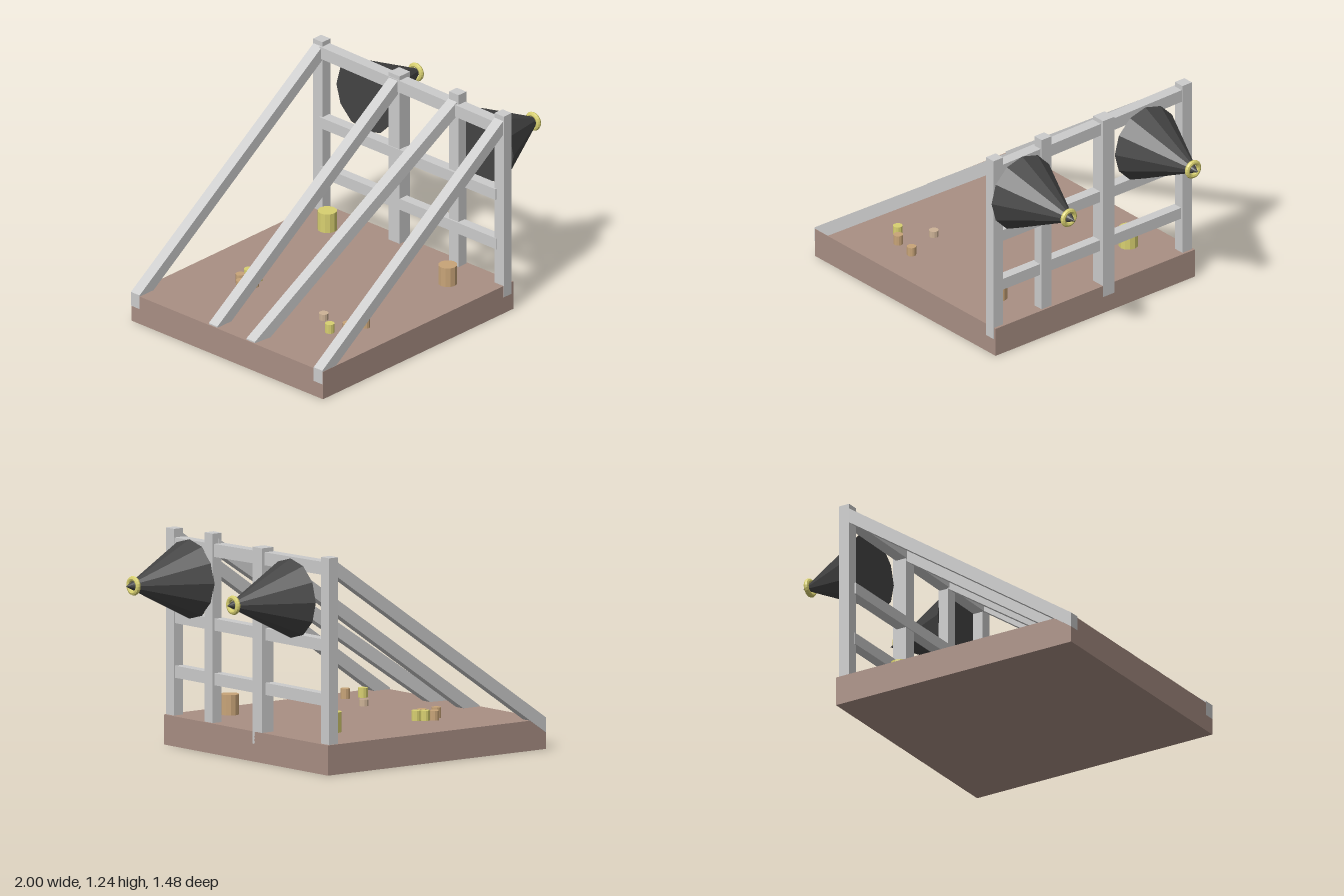
import * as THREE from 'three';

const mat = (color) => new THREE.MeshStandardMaterial({ color, flatShading: true });

export function createModel() {
  const group = new THREE.Group();
  const grey = mat(0xcccccc), earth = mat(0xa98f84), dark = mat(0x444444);
  const yellow = mat(0xd8d070), tan = mat(0xc8a478), pale = mat(0xcdb296);

  function add(name, geometry, material, x, y, z) {
    const mesh = new THREE.Mesh(geometry, material);
    mesh.name = name;
    mesh.position.set(x, y, z);
    group.add(mesh);
    return mesh;
  }

  // Box given by its limits on each axis
  function block(name, material, x0, x1, y0, y1, z0, z1) {
    return add(name, new THREE.BoxGeometry(x1 - x0, y1 - y0, z1 - z0), material,
      (x0 + x1) / 2, (y0 + y1) / 2, (z0 + z1) / 2);
  }

  // Sloping beam with upright end cuts: a box sheared along its length
  function brace(x0, y0, z0, x1, y1, z1) {
    const g = new THREE.BoxGeometry(x1 - x0, 0.085, 0.066);
    const p = g.attributes.position;
    const ky = (y1 - y0) / (x1 - x0), kz = (z1 - z0) / (x1 - x0);
    for (let i = 0; i < p.count; i++) {
      const x = p.getX(i);
      p.setY(i, p.getY(i) + ky * x);
      p.setZ(i, p.getZ(i) + kz * x);
    }
    g.computeVertexNormals();
    add('brace', g, grey, (x0 + x1) / 2, (y0 + y1) / 2, (z0 + z1) / 2);
  }

  // Ground slab
  block('base', earth, -0.997, 0.56, 0, 0.17, -0.735, 0.722);

  // Posts: x range, z centre, half width, top
  for (const [x0, x1, z, w, top] of [
    [0.48, 0.545, 0.689, 0.035, 1.222],
    [0.485, 0.548, 0.34, 0.036, 1.237],
    [0.475, 0.56, -0.105, 0.042, 1.21],
    [0.48, 0.545, -0.69, 0.035, 1.222],
  ]) block('post', grey, x0, x1, 0.1, top, z - w, z + w);

  // Cross rails, the top one a little tilted
  block('lowerRail', grey, 0.475, 0.535, 0.382, 0.45, -0.67, 0.67);
  block('middleRail', grey, 0.47, 0.535, 0.69, 0.757, -0.67, 0.67);
  block('topRail', grey, 0.47, 0.54, 1.111, 1.184, -0.67, 0.67).rotation.x = 0.016;

  // Long sloping braces behind the posts
  brace(-1, 0.135, 0.687, 0.5, 1.165, 0.687);
  brace(-0.99, 0.135, 0.165, 0.51, 1.165, 0.333);
  brace(-0.99, 0.135, -0.12, 0.51, 1.165, -0.107);
  brace(-0.998, 0.135, -0.705, 0.5, 1.165, -0.69);

  // Cones with a ring near the tip
  for (const [z, ringX] of [[0.515, 0.945], [-0.385, 0.955]]) {
    const cone = new THREE.ConeGeometry(0.224, 0.455, 12);
    cone.rotateZ(-Math.PI / 2);
    add('cone', cone, dark, 0.7725, 0.957, z);
    const ring = new THREE.TorusGeometry(0.041, 0.0145, 8, 20);
    ring.rotateY(Math.PI / 2);
    add('coneRing', ring, yellow, ringX, 0.957, z);
  }

  // Barrels: name, material, x, z, radius, bottom, top
  for (const [name, m, x, z, r, y0, y1] of [
    ['largeBarrel', yellow, 0.31, -0.46, 0.055, 0.19, 0.305],
    ['largeBarrel', tan, 0.29, 0.475, 0.054, 0.175, 0.29],
    ['smallBarrel', tan, -0.55, -0.318, 0.027, 0.17, 0.23],
    ['smallBarrel', tan, -0.485, -0.382, 0.027, 0.17, 0.225],
    ['smallBarrel', tan, -0.465, -0.295, 0.027, 0.17, 0.225],
    ['smallBarrel', yellow, -0.418, -0.382, 0.027, 0.175, 0.232],
    ['smallBarrel', yellow, -0.396, -0.332, 0.027, 0.17, 0.228],
    ['smallBarrel', pale, -0.505, 0.27, 0.027, 0.165, 0.208],
    ['smallBarrel', yellow, -0.627, 0.43, 0.027, 0.187, 0.242],
    ['smallBarrel', tan, -0.55, 0.492, 0.027, 0.18, 0.238],
    ['smallBarrel', tan, -0.418, 0.507, 0.027, 0.165, 0.222],
  ]) {
    add(name, new THREE.CylinderGeometry(r, r, y1 - y0, 12), m, x, (y0 + y1) / 2, z);
  }

  return group;
}
